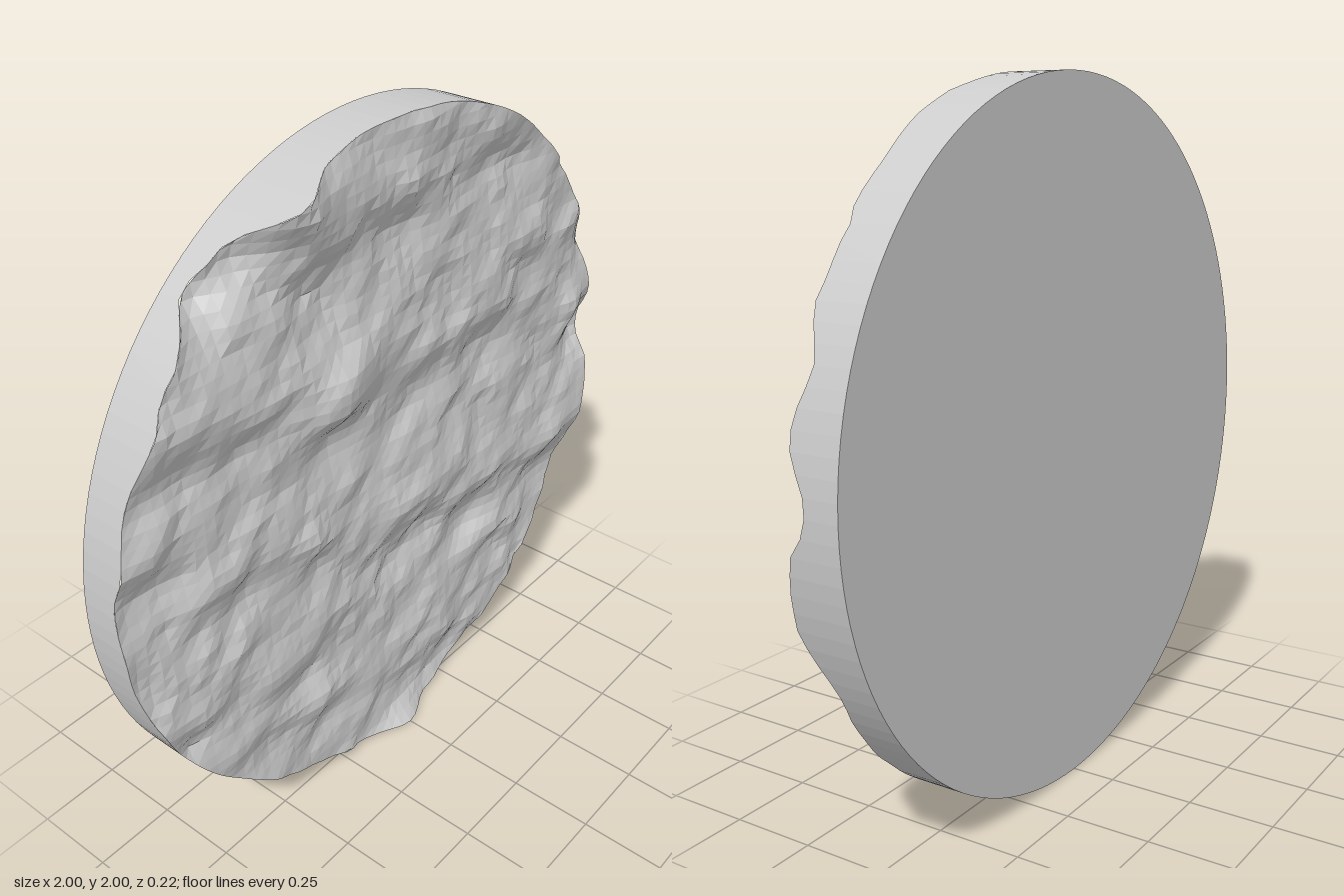
import * as THREE from 'three';

const BACK = -0.12, N = 60;

// Ledges, a ridge over a hollow: x, y, half width, half height, strength
const ledges = [
  [-0.28, 1.71, 0.15, 0.13, 0.07], [-0.47, 1.83, 0.1, 0.09, 0.03], [0.03, 1.75, 0.13, 0.13, 0.06],
  [0.45, 1.79, 0.16, 0.1, 0.05], [-0.55, 1.37, 0.13, 0.1, 0.05], [-0.82, 1.39, 0.14, 0.1, 0.05],
  [-0.26, 1.25, 0.16, 0.12, 0.06], [0.06, 1.24, 0.11, 0.1, 0.05], [0.42, 1.26, 0.15, 0.12, 0.08],
  [0.58, 1.42, 0.11, 0.09, 0.04], [0.87, 1.05, 0.1, 0.1, 0.04], [-0.87, 1.13, 0.11, 0.1, 0.05],
  [-0.68, 0.94, 0.13, 0.09, 0.04], [-0.34, 0.86, 0.13, 0.09, 0.05], [0.05, 0.75, 0.18, 0.13, 0.08],
  [0.38, 0.66, 0.16, 0.12, 0.07], [0.8, 0.62, 0.17, 0.13, 0.08], [-0.82, 0.57, 0.13, 0.1, 0.05],
  [-0.45, 0.5, 0.15, 0.09, 0.05], [-0.32, 0.6, 0.12, 0.08, 0.03], [-0.36, 0.28, 0.15, 0.09, 0.05],
  [0.55, 0.41, 0.14, 0.08, 0.03], [0.2, 0.17, 0.14, 0.08, 0.03], [-0.65, 0.36, 0.12, 0.08, 0.04],
];

// Bumps (+) and dents (-): x, y, half width, half height, depth
const bumps = [
  [-0.25, 1.36, 0.14, 0.1, 0.045], [-0.4, 1.92, 0.09, 0.09, 0.06], [-0.55, 1.84, 0.07, 0.1, -0.05],
  [-0.66, 1.76, 0.09, 0.1, -0.09], [0.97, 1.36, 0.1, 0.12, -0.055], [0.99, 1.02, 0.09, 0.09, -0.05],
  [0.96, 0.76, 0.1, 0.07, 0.01], [0.93, 0.63, 0.1, 0.08, -0.01], [-0.98, 1.0, 0.22, 0.55, -0.03],
  [0, 0, 0.1, 0.04, 0.055], [0.3, 0.05, 0.1, 0.05, -0.025], [0.1, 0.87, 0.2, 0.08, 0.01],
  [0.2, 1.95, 0.25, 0.06, 0.02],
];

// Smooth repeatable value noise in -1..1
function hash(i, j) {
  const s = Math.sin(i * 127.1 + j * 311.7) * 43758.5453;
  return (s - Math.floor(s)) * 2 - 1;
}
function noise(x, y) {
  const i = Math.floor(x), j = Math.floor(y);
  const ease = (t) => t * t * (3 - 2 * t);
  const u = ease(x - i), v = ease(y - j);
  const { lerp } = THREE.MathUtils;
  return lerp(lerp(hash(i, j), hash(i + 1, j), u), lerp(hash(i, j + 1), hash(i + 1, j + 1), u), v);
}

// Depth of the rough face at a point
function relief(x, y) {
  let z = 0.03;
  for (const [fx, fy, sx, sy, h] of ledges) {
    const s = (x - fx) / sx, t = (y - fy) / sy;
    z += h * t * Math.exp(-s * s - t * t);
  }
  for (const [fx, fy, sx, sy, h] of bumps) {
    z += h * Math.exp(-(((x - fx) / sx) ** 2) - ((y - fy) / sy) ** 2);
  }
  // Lumps and grain, running a little diagonally
  const a = x + 0.4 * y, b = y - 0.4 * x;
  z += 0.011 * noise(a * 9 + 20, b * 10) + 0.008 * noise(a * 16, b * 18 + 9);
  return THREE.MathUtils.clamp(z, -0.06, 0.115);
}

export function createModel() {
  const group = new THREE.Group();
  const rough = new THREE.MeshStandardMaterial({ color: 0xcccccc, flatShading: true });
  const add = (name, geometry) => {
    geometry.computeVertexNormals();
    const mesh = new THREE.Mesh(geometry, rough);
    mesh.name = name;
    group.add(mesh);
  };

  // Rough front: a square grid whose outer corners are pulled in to the rim
  const face = new THREE.PlaneGeometry(2, 2, N, N);
  const p = face.attributes.position;
  const inside = [];
  for (let i = 0; i < p.count; i++) {
    const r = Math.hypot(p.getX(i), p.getY(i));
    inside.push(r < 0.995);
    const k = r < 0.995 ? 1 : 1 / r;
    const x = p.getX(i) * k, y = 1 + p.getY(i) * k;
    p.setXYZ(i, x, y, relief(x, y));
  }
  // Keep only the triangles that reach inside the disc
  const kept = [];
  for (let i = 0; i < face.index.count; i += 3) {
    const tri = [0, 1, 2].map((k) => face.index.getX(i + k));
    if (tri.some((v) => inside[v])) kept.push(...tri);
  }
  face.setIndex(kept);
  add('roughFace', face);

  // Rim wall: its front edge follows the rough face
  const wall = new THREE.CylinderGeometry(1, 1, 1, 128, 1, true);
  wall.rotateX(Math.PI / 2);
  const w = wall.attributes.position;
  for (let i = 0; i < w.count; i++) {
    const x = w.getX(i), y = w.getY(i) + 1;
    w.setXYZ(i, x, y, w.getZ(i) > 0 ? relief(x, y) : BACK);
  }
  add('rimWall', wall);

  // Flat back
  const back = new THREE.CircleGeometry(1, 128);
  back.rotateY(Math.PI);
  back.translate(0, 1, BACK);
  add('flatBack', back);

  return group;
}
